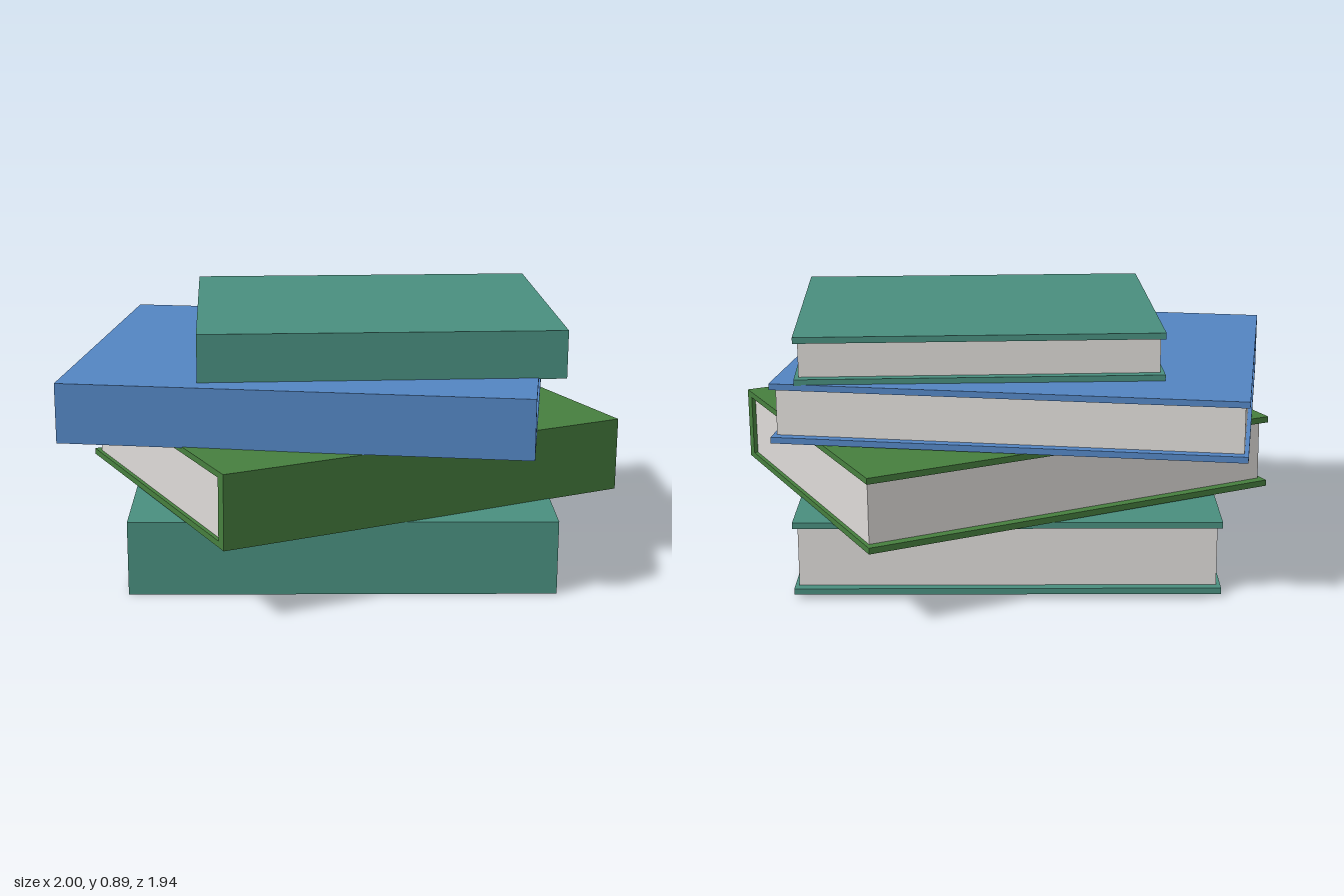
import * as THREE from 'three';

const teal = new THREE.MeshStandardMaterial({ name: 'teal cover', color: 0x4a9080 });
const green = new THREE.MeshStandardMaterial({ name: 'green cover', color: 0x47803f });
const blue = new THREE.MeshStandardMaterial({ name: 'blue cover', color: 0x5486c4 });
const paper = new THREE.MeshStandardMaterial({ name: 'paper', color: 0xe0ddda });

const TILT = 0.0125; // fore edge sits slightly higher than the spine
const BOARD = 0.021, SPINE = 0.042, FORE_INSET = 0.033, END_INSET = 0.014;

// Spine runs from p to q ([x, z]); the book extends to the left of that line.
function makeBook(name, material, p, q, width, y, height) {
  const dx = q[0] - p[0], dz = q[1] - p[1];
  const length = Math.hypot(dx, dz);
  const book = new THREE.Group();
  book.name = name;

  // Cover: C-shaped section swept along the spine
  const section = new THREE.Shape([
    [0, 0], [width, 0], [width, BOARD], [SPINE, BOARD],
    [SPINE, height - BOARD], [width, height - BOARD], [width, height], [0, height],
  ].map(([a, b]) => new THREE.Vector2(a, b)));
  const coverGeometry = new THREE.ExtrudeGeometry(section, { depth: length, bevelEnabled: false });
  coverGeometry.translate(0, 0, -length / 2);
  const cover = new THREE.Mesh(coverGeometry, material);
  cover.name = 'cover';

  // Page block, recessed inside the cover
  const pageWidth = width - SPINE - FORE_INSET;
  const pages = new THREE.Mesh(
    new THREE.BoxGeometry(pageWidth, height - 2 * BOARD, length - 2 * END_INSET), paper);
  pages.position.set(SPINE + pageWidth / 2, height / 2, 0);
  pages.name = 'pages';

  book.add(cover, pages);
  book.position.set((p[0] + q[0]) / 2, y, (p[1] + q[1]) / 2);
  book.rotation.set(0, Math.atan2(dx, dz), TILT, 'YXZ');
  return book;
}

export function createModel() {
  const stack = new THREE.Group();
  stack.name = 'bookStack';
  stack.add(
    makeBook('bottomBook', teal, [-0.07, 0.855], [0.967, -0.13], 1.138, 0, 0.254),
    makeBook('greenBook', green, [0.375, 0.84], [0.893, -0.562], 1.184, 0.255, 0.253),
    makeBook('blueBook', blue, [-0.28, 0.97], [1.0, 0.06], 1.24, 0.509, 0.204),
    makeBook('topBook', teal, [0.06, 0.65], [0.908, -0.23], 0.969, 0.713, 0.163),
  );
  return stack;
}
